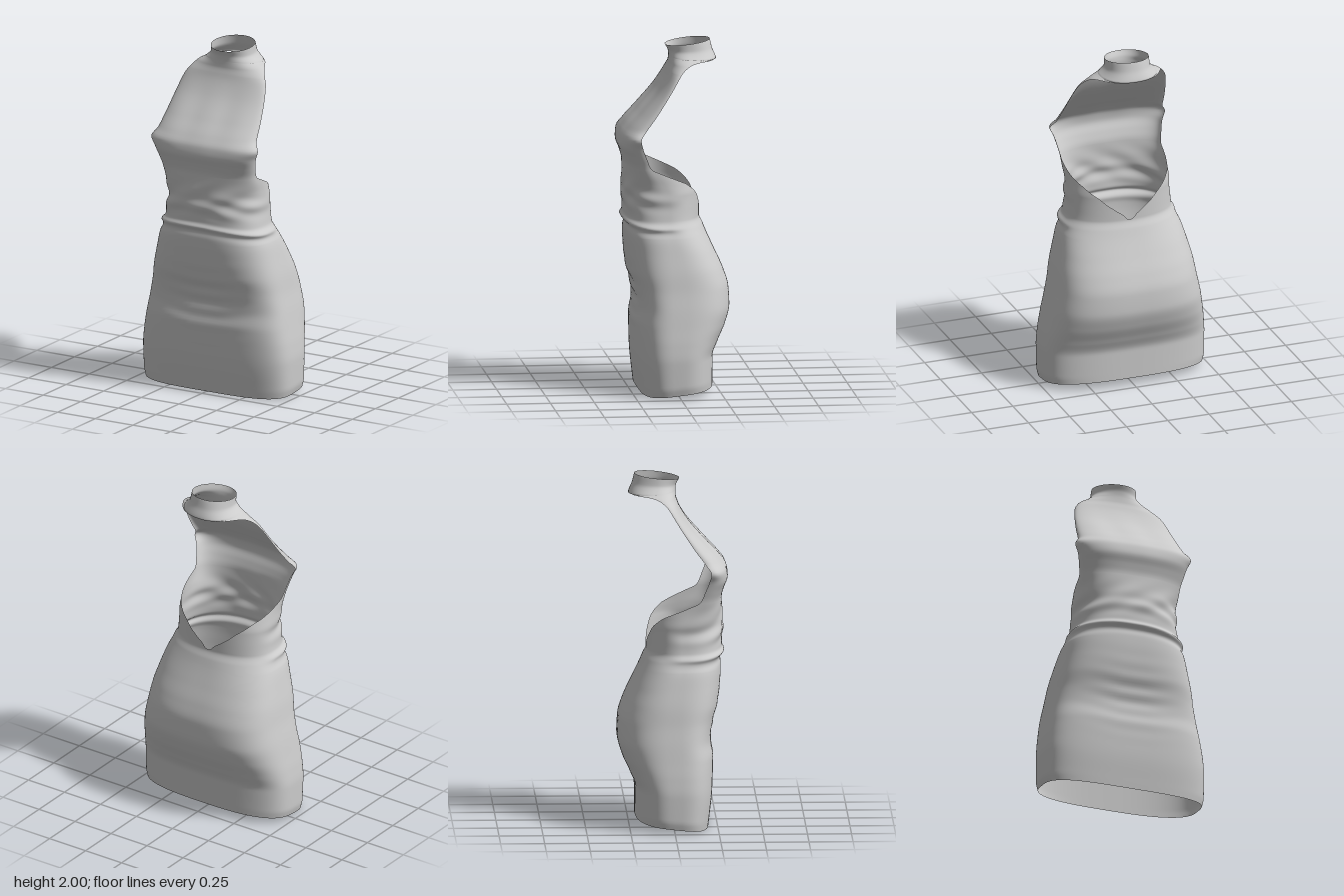
import * as THREE from 'three';

// Cross-sections: height, half width, front z, back z, z of widest point
const SECTIONS = [
  [0, .475, .2, -.215, 0], [.05, .485, .206, -.215, 0], [.2, .486, .222, -.215, 0],
  [.3, .477, .226, -.245, 0], [.4, .46, .228, -.29, 0], [.5, .442, .215, -.315, 0],
  [.6, .421, .228, -.31, 0], [.7, .404, .255, -.28, 0], [.8, .38, .268, -.235, .01],
  [.9, .353, .274, -.19, .03], [.95, .332, .274, -.17, .04], [1.0, .312, .278, -.15, .05],
  [1.06, .305, .282, -.15, .05], [1.14, .3, .286, -.15, .05], [1.2, .3, .283, -.15, .08],
  [1.3, .302, .28, -.15, .15], [1.36, .313, .294, -.15, .177], [1.42, .328, .314, -.15, .2],
  [1.47, .349, .306, -.15, .212], [1.52, .322, .272, -.15, .18], [1.6, .31, .197, -.15, .12],
  [1.72, .288, .092, -.2, .04], [1.8, .266, .044, -.24, -.01], [1.83, .248, .032, -.25, -.03],
  [1.87, .215, .02, -.25, -.07], [1.905, .168, .018, -.25, -.09], [1.935, .13, .022, -.228, -.09],
  [1.97, .126, .04, -.215, -.09],
];

// Squareness of the cross-section: height, front, back
const SHAPE = [
  [0, 3.6, 2.8], [.5, 3.4, 3], [.8, 3, 2.7], [1, 2.7, 2.2], [1.2, 2.4, 2.2],
  [1.42, 2.6, 2.2], [1.8, 2.4, 2.3], [1.905, 2.1, 2.3], [1.97, 2, 2],
];

// Open back: height, z of the free edge
const EDGE = [
  [1.0, -.15], [1.03, -.149], [1.065, -.144], [1.1, -.134], [1.14, -.118], [1.2, -.06], [1.23, 0],
  [1.265, .08], [1.3, .15], [1.36, .177], [1.42, .2], [1.47, .212], [1.52, .18], [1.6, .12],
  [1.72, .04], [1.8, -.01], [1.83, -.03], [1.87, -.08], [1.89, -.14], [1.9, -.2], [1.905, -.25],
];
const OPEN_FROM = 1.0, OPEN_TO = 1.905;

// Smooth interpolation of a table column without overshoot
function sample(table, y, k) {
  const n = table.length - 1;
  let i = 0;
  while (i < n - 1 && y > table[i + 1][0]) i++;
  const secant = (j) => (table[j + 1][k] - table[j][k]) / (table[j + 1][0] - table[j][0]);
  const slope = (j) => {
    if (j === 0 || j === n) return secant(Math.min(j, n - 1));
    const a = secant(j - 1), b = secant(j);
    return a * b > 0 ? 2 * a * b / (a + b) : 0;
  };
  const h = table[i + 1][0] - table[i][0];
  const t = Math.min(1, Math.max(0, (y - table[i][0]) / h));
  const t2 = t * t, t3 = t2 * t;
  return (2 * t3 - 3 * t2 + 1) * table[i][k] + (t3 - 2 * t2 + t) * h * slope(i)
    + (3 * t2 - 2 * t3) * table[i + 1][k] + (t3 - t2) * h * slope(i + 1);
}

const bump = (v, mid, width) => Math.exp(-(((v - mid) / width) ** 2));

// Outward displacement: waist seam roll, draped bodice and creased skirt front
function folds(x, y, front) {
  const roll = .016 * bump(y, .99 - .25 * x * x - .02 * x, .016) - .005 * bump(y, .955 - .25 * x * x, .02);
  const drape = .005 * bump(y, 1.11, .06) * Math.sin(58 * (y + .9 * x * x) + 5 * x)
    + .004 * bump(y, 1.15, .09) * Math.sin(42 * y - 28 * x);
  const creases = .004 * bump(y, .55, .17) * bump(x, 0, .2) * Math.sin(68 * (y - .4 * x * x));
  const gather = .003 * bump(y, 1.62, .13) * Math.cos(30 * x);
  return front * (roll + drape + creases + gather);
}

// A signed power, for the squared-off ellipse
const spow = (v, e) => Math.sign(v) * Math.abs(v) ** e;

// A point on the cloth: s is the height, t runs from edge to edge (-1..1)
function clothPoint(s, t) {
  const [a, zf, zb, zc] = [1, 2, 3, 4].map((k) => sample(SECTIONS, s, k));
  const nf = sample(SHAPE, s, 1), nb = sample(SHAPE, s, 2);
  let end = Math.PI;
  if (s > OPEN_FROM && s < OPEN_TO) {
    const d = sample(EDGE, s, 1) - zc;
    const r = Math.min(1, Math.abs(d) / (d > 0 ? zf - zc : zc - zb));
    end = Math.acos(d > 0 ? r ** (nf / 2) : -(r ** (nb / 2)));
  }
  const c = Math.cos(t * end), si = Math.sin(t * end), n = c > 0 ? nf : nb;
  let x = a * spow(si, 2 / n);
  let z = zc + (c > 0 ? zf - zc : zc - zb) * spow(c, 2 / n);
  const f = folds(x, s, THREE.MathUtils.smoothstep(c, -.5, .4));
  x += f * si;
  z += f * c;
  // the hem and collar top rise towards the back, the collar's lower lip dips
  const tilt = .11 * Math.max(0, 1 - s / .3) + .115 * THREE.MathUtils.smoothstep(s, 1.9, 1.97)
    - .06 * bump(s, 1.905, .02);
  return [x, s + tilt * Math.max(0, zf - z), z];
}

export function createModel() {
  const group = new THREE.Group();
  group.name = 'halterDress';
  const COLS = 112;

  // Row heights, closer together at the waist, the back opening and the collar
  const heights = [];
  const addRows = (from, to, count) => {
    for (let i = 0; i < count; i++) heights.push(from + (to - from) * i / count);
  };
  addRows(0, .9, 60);
  addRows(.9, 1.0, 20);
  addRows(1.0, 1.3, 60);
  addRows(1.3, 1.83, 44);
  addRows(1.83, 1.905, 28);
  addRows(1.905, 1.97, 12);
  heights.push(1.97);

  const positions = [];
  for (const s of heights) {
    for (let j = 0; j <= COLS; j++) positions.push(...clothPoint(s, 2 * j / COLS - 1));
  }

  // Closed rows share one vertex at the centre back
  const vertex = (i, j) => {
    const closed = heights[i] <= OPEN_FROM || heights[i] >= OPEN_TO;
    return i * (COLS + 1) + (closed && j === COLS ? 0 : j);
  };
  const faces = { skirt: [], bodice: [], collar: [] };
  for (let i = 0; i < heights.length - 1; i++) {
    const part = heights[i] < .999 ? 'skirt' : heights[i] < 1.9049 ? 'bodice' : 'collar';
    for (let j = 0; j < COLS; j++) {
      const a = vertex(i, j), b = vertex(i, j + 1), c = vertex(i + 1, j + 1), d = vertex(i + 1, j);
      faces[part].push(a, b, c, a, c, d);
    }
  }

  // Normals are found over the whole cloth so that the parts join smoothly
  const whole = new THREE.BufferGeometry();
  whole.setAttribute('position', new THREE.Float32BufferAttribute(positions, 3));
  whole.setIndex(Object.values(faces).flat());
  whole.computeVertexNormals();

  const cloth = new THREE.MeshStandardMaterial({ color: 0xcccccc, side: THREE.DoubleSide });
  for (const [name, index] of Object.entries(faces)) {
    const geometry = new THREE.BufferGeometry();
    geometry.setAttribute('position', whole.getAttribute('position'));
    geometry.setAttribute('normal', whole.getAttribute('normal'));
    geometry.setIndex(index);
    const mesh = new THREE.Mesh(geometry, cloth);
    mesh.name = name;
    group.add(mesh);
  }
  return group;
}
